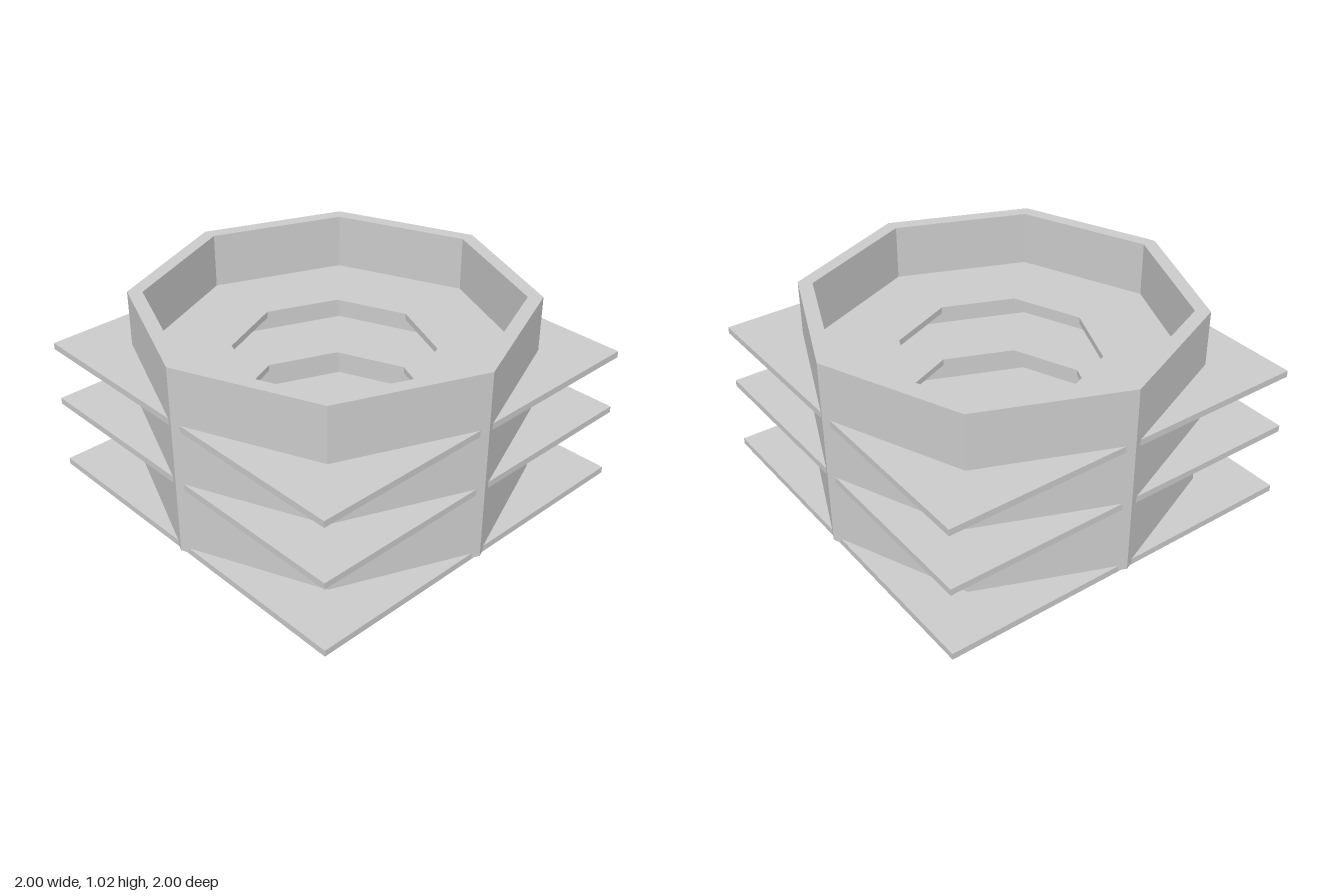
import * as THREE from 'three';

const material = new THREE.MeshStandardMaterial({ color: 0xcccccc, flatShading: true });

// Regular octagon with corners on the axes
function octagon(radius, PathType) {
  const points = [];
  for (let i = 0; i < 8; i++) {
    const a = (i * Math.PI) / 4;
    points.push(new THREE.Vector2(radius * Math.cos(a), radius * Math.sin(a)));
  }
  return new PathType(points);
}

// Extrudes a flat outline upward from the given height
function raise(name, shape, bottom, height) {
  const geometry = new THREE.ExtrudeGeometry(shape, { depth: height, bevelEnabled: false });
  geometry.rotateX(-Math.PI / 2);
  const mesh = new THREE.Mesh(geometry, material);
  mesh.name = name;
  mesh.position.y = bottom;
  return mesh;
}

function squarePlate(half) {
  return new THREE.Shape([
    new THREE.Vector2(-half, -half),
    new THREE.Vector2(half, -half),
    new THREE.Vector2(half, half),
    new THREE.Vector2(-half, half),
  ]);
}

export function createModel() {
  const group = new THREE.Group();
  group.name = 'octagonalTower';

  // Hollow octagonal wall
  const wall = octagon(1, THREE.Shape);
  wall.holes.push(octagon(0.925, THREE.Path));
  group.add(raise('octagonalWall', wall, 0.01, 1.01));

  // Solid ground slab, then two floors with an octagonal opening
  const plateThickness = 0.034;
  group.add(raise('groundSlab', squarePlate(0.983), 0.003, plateThickness));
  [['middleFloor', 0.375], ['upperFloor', 0.695]].forEach(([name, y]) => {
    const plate = squarePlate(0.983);
    plate.holes.push(octagon(0.507, THREE.Path));
    group.add(raise(name, plate, y, plateThickness));
  });

  // Rest the ground slab on y = 0
  group.children.forEach((part) => { part.position.y -= 0.003; });
  return group;
}
